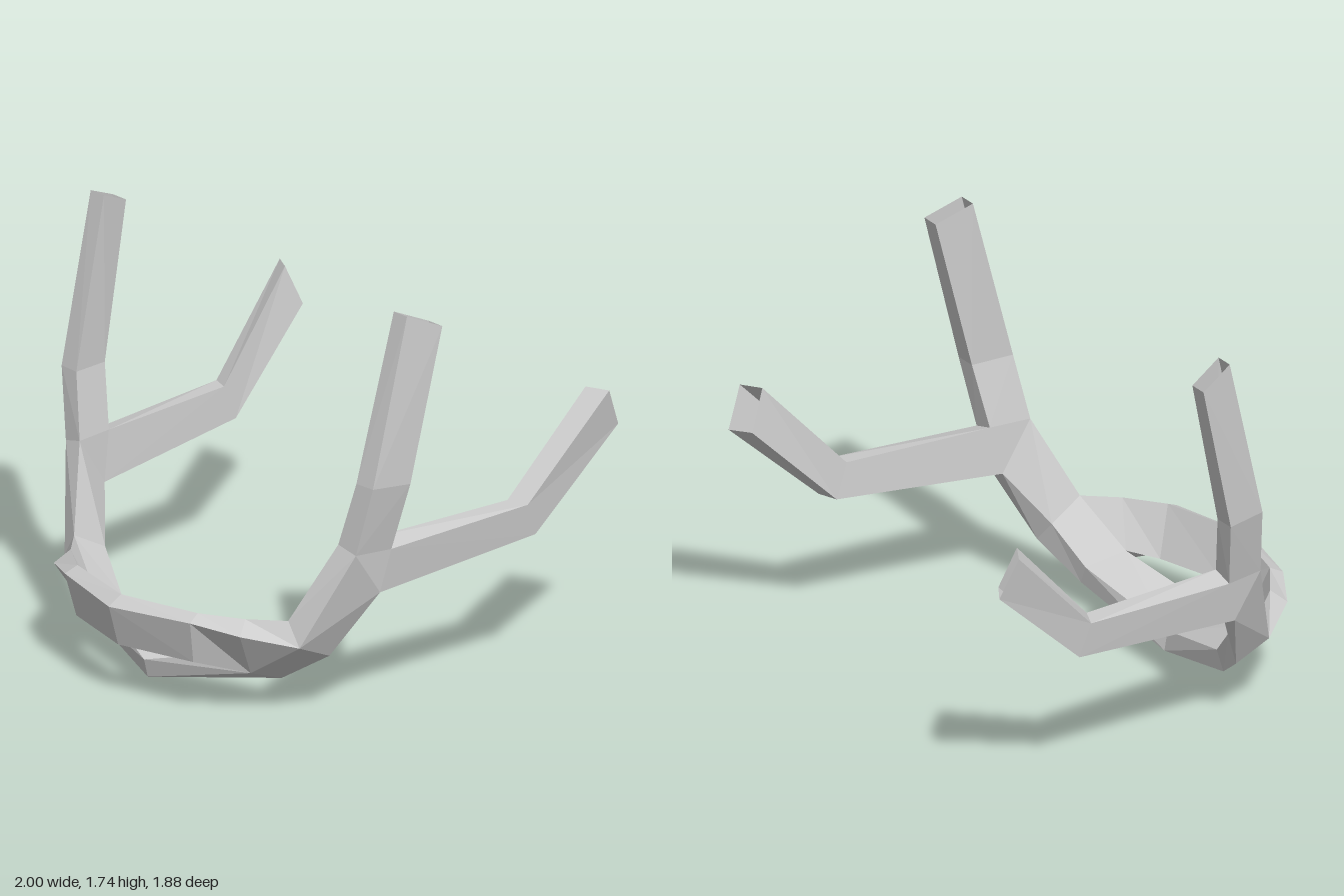
import * as THREE from 'three';

const material = new THREE.MeshStandardMaterial({ color: 0xcccccc, flatShading: true, side: THREE.DoubleSide });

// Skin a list of four-cornered sections; skip lists "step:side" walls left open at a fork
function sweep(name, rings, sign, skip = []) {
  const pos = [];
  for (let s = 0; s < rings.length - 1; s++) {
    for (let i = 0; i < 4; i++) {
      if (skip.includes(`${s}:${i}`)) continue;
      const j = (i + 1) % 4;
      const a = rings[s][i], b = rings[s][j], c = rings[s + 1][j], d = rings[s + 1][i];
      for (const tri of [[a, b, c], [a, c, d]]) {
        if (new Set(tri).size < 3) continue; // collapsed corner
        if (sign < 0) tri.reverse();
        for (const [x, y, z] of tri) pos.push(sign * x, y, z);
      }
    }
  }
  const g = new THREE.BufferGeometry();
  g.setAttribute('position', new THREE.Float32BufferAttribute(pos, 3));
  g.computeVertexNormals();
  const mesh = new THREE.Mesh(g, material);
  mesh.name = name;
  return mesh;
}

// Sections run: front inner, front outer, back outer, back inner
const lowerCentre = [[0, 0.13, 0.75], [0, 0.05, 0.73], [0, 0, 0.52], [0, 0.085, 0.535]];
const lowerSide = [[0.43, 0.25, 0.625], [0.5, 0.18, 0.62], [0.51, 0.122, 0.46], [0.47, 0.205, 0.455]];
const cheek = [[0.65, 0.43, 0.55], [0.713, 0.327, 0.545], [0.713, 0.256, 0.384], [0.63, 0.35, 0.4]];
const fork = [[0.785, 0.76, 0.4], [0.88, 0.735, 0.39], [0.883, 0.547, 0.262], [0.785, 0.55, 0.265]];

// Crotch between the upright and the rear arm
const crotchOuter = [0.905, 0.73, 0.22], crotchInner = [0.81, 0.757, 0.22];

// Front bar sections: top back, top front, bottom front, bottom back
const barCentre = [[0, 0.443, 0.875], [0, 0.405, 0.94], [0, 0.23, 0.89], [0, 0.235, 0.8]];
const barMid = [[0.365, 0.442, 0.785], [0.38, 0.415, 0.84], [0.355, 0.232, 0.8], [0.315, 0.235, 0.713]];
const barSide = [[0.53, 0.435, 0.675], [0.565, 0.382, 0.735], lowerSide[1], lowerSide[0]];
const barEnd = [cheek[0], cheek[1], lowerSide[1], lowerSide[0]];

const uprightBase = [fork[0], fork[1], crotchOuter, crotchInner];
const uprightBend = [[0.85, 1.03, 0.36], [0.945, 1.03, 0.355], [0.975, 1.02, 0.18], [0.88, 1.02, 0.18]];
const uprightTip = [[0.88, 1.738, 0.185], [0.96, 1.738, 0.185], [1, 1.67, 0.03], [0.92, 1.67, 0.03]];

const rearBase = [crotchInner, crotchOuter, fork[2], fork[3]];
const rearBend = [[0.86, 0.76, -0.445], [0.945, 0.755, -0.48], [0.935, 0.613, -0.53], [0.85, 0.613, -0.5]];
const rearTip = [[0.912, 1.17, -0.82], [1, 1.165, -0.87], [0.97, 0.995, -0.945], [0.882, 1, -0.89]];

export function createModel() {
  const model = new THREE.Group();
  model.name = 'chinGuardFrame';
  for (const [side, sign] of [['left', 1], ['right', -1]]) {
    const half = new THREE.Group();
    half.name = `${side}Half`;
    half.add(
      sweep('chinBarAndCheek', [lowerCentre, lowerSide, cheek, fork], sign, ['1:0']),
      sweep('frontBar', [barCentre, barMid, barSide, barEnd], sign),
      sweep('upright', [uprightBase, uprightBend, uprightTip], sign),
      sweep('rearArm', [fork, rearBase, rearBend, rearTip], sign, ['0:0']),
    );
    model.add(half);
  }
  return model;
}
